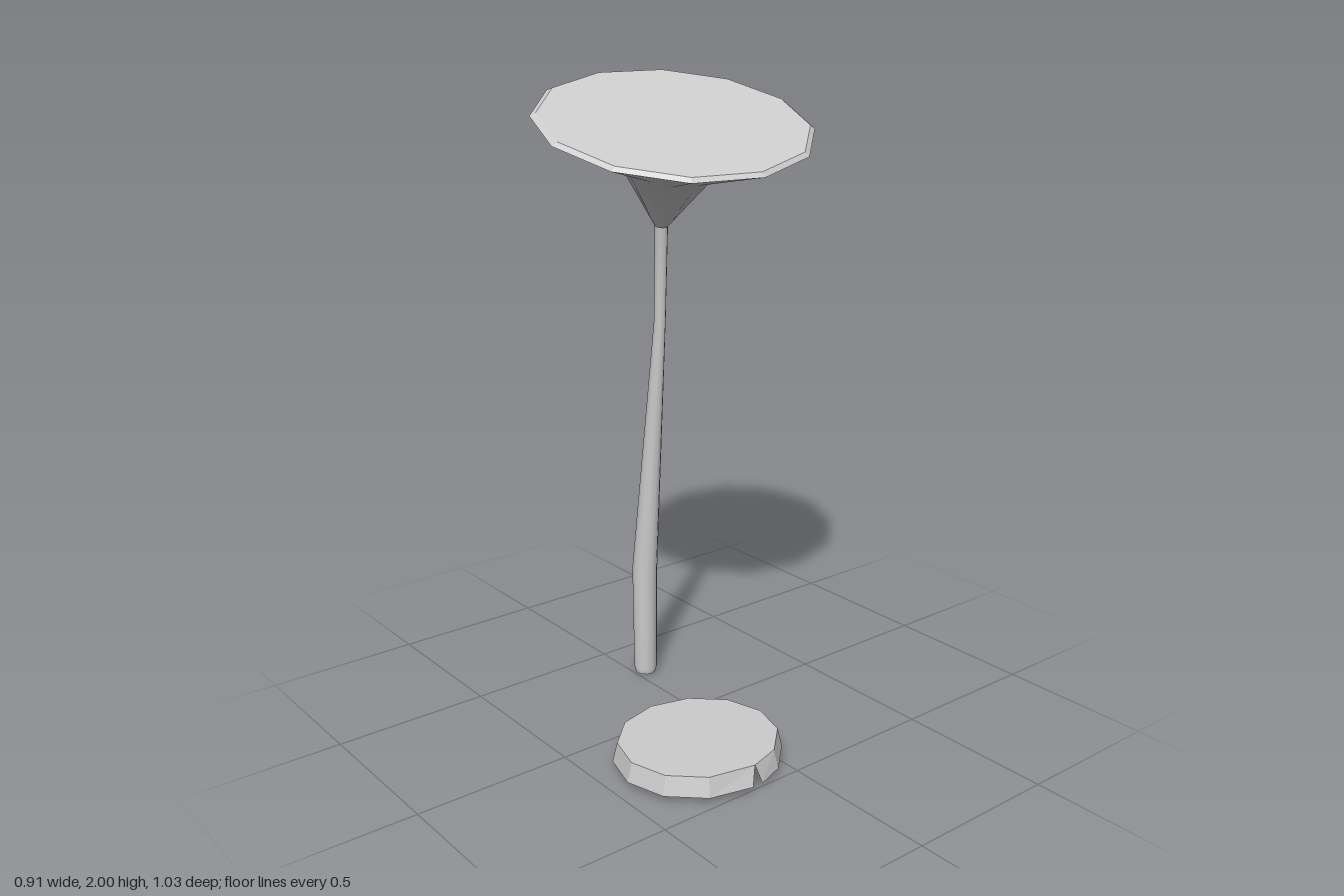
import * as THREE from 'three';

const SIDES = 12;

// Elliptical ring: centre, radii and the slopes that tilt its plane
function ring(cx, cy, cz, rx, rz = rx, slopeX = 0, slopeZ = 0) {
  return Array.from({ length: SIDES }, (_, i) => {
    const a = (i / SIDES) * Math.PI * 2;
    const x = rx * Math.cos(a), z = rz * Math.sin(a);
    return new THREE.Vector3(cx + x, cy + slopeX * x + slopeZ * z, cz + z);
  });
}

// Skin between successive rings, from bottom to top
function loft(rings) {
  const index = [];
  for (let r = 0; r < rings.length - 1; r++) {
    for (let i = 0; i < SIDES; i++) {
      const j = (i + 1) % SIDES;
      const a = r * SIDES + i, b = r * SIDES + j;
      index.push(a, a + SIDES, b, b, a + SIDES, b + SIDES);
    }
  }
  const geometry = new THREE.BufferGeometry().setFromPoints(rings.flat());
  geometry.setIndex(index);
  geometry.computeVertexNormals();
  return geometry;
}

// Flat fan over one ring
function disc(points, faceDown = false) {
  const index = [];
  for (let i = 1; i < SIDES - 1; i++) index.push(0, ...(faceDown ? [i, i + 1] : [i + 1, i]));
  const geometry = new THREE.BufferGeometry().setFromPoints(points);
  geometry.setIndex(index);
  geometry.computeVertexNormals();
  return geometry;
}

export function createModel() {
  const model = new THREE.Group();
  const smooth = new THREE.MeshStandardMaterial({ color: 0xcccccc, side: THREE.DoubleSide });
  const flat = smooth.clone();
  flat.flatShading = true;

  const add = (parent, name, geometry, material) => {
    const mesh = new THREE.Mesh(geometry, material);
    mesh.name = name;
    parent.add(mesh);
  };

  // Tall plant: bent, tapering stem that opens into a tilted trumpet
  const plant = new THREE.Group();
  plant.name = 'trumpetPlant';
  model.add(plant);

  const foot = ring(0.042, 0, -0.311, 0.034);
  const neck = ring(0.052, 1.545, -0.221, 0.021, 0.021, 0.05, -0.2);
  const rim = ring(0.02, 1.867, -0.11, 0.435, 0.405, 0.098, -0.305);
  const lip = ring(0.02, 1.877, -0.106, 0.418, 0.389, 0.098, -0.305);

  add(plant, 'stem', loft([
    foot,
    ring(0.042, 0.02, -0.311, 0.039),
    ring(0.043, 0.38, -0.312, 0.042),
    ring(0.075, 1.23, -0.262, 0.019),
    neck,
  ]), smooth);
  add(plant, 'stemFoot', disc(foot, true), flat);
  add(plant, 'trumpet', loft([
    neck,
    ring(0.03, 1.735, -0.165, 0.142, 0.155, 0.075, -0.29),
    rim,
  ]), smooth);
  add(plant, 'trumpetRim', loft([rim, lip]), flat);
  add(plant, 'trumpetTop', disc(lip), flat);

  // Low pad: open underneath, with a V-shaped notch in the front wall
  const pad = new THREE.Group();
  pad.name = 'pad';
  model.add(pad);

  const front = SIDES / 4;
  const top = ring(-0.19, 0.08, 0.263, 0.25, 0.236);
  const bottom = ring(-0.19, 0.02, 0.263, 0.265, 0.25);
  top[front].x += 0.022;
  bottom[front].x += 0.022;

  const walls = [];
  for (let i = 0; i < SIDES; i++) {
    const j = (i + 1) % SIDES;
    const a = bottom[i].clone(), b = bottom[j].clone();
    if (i === front) a.x -= 0.018;
    if (j === front) b.x += 0.018;
    walls.push(a, top[i], b, b, top[i], top[j]);
  }
  const wallGeometry = new THREE.BufferGeometry().setFromPoints(walls);
  wallGeometry.computeVertexNormals();
  add(pad, 'padWall', wallGeometry, flat);
  add(pad, 'padTop', disc(top), flat);

  return model;
}
